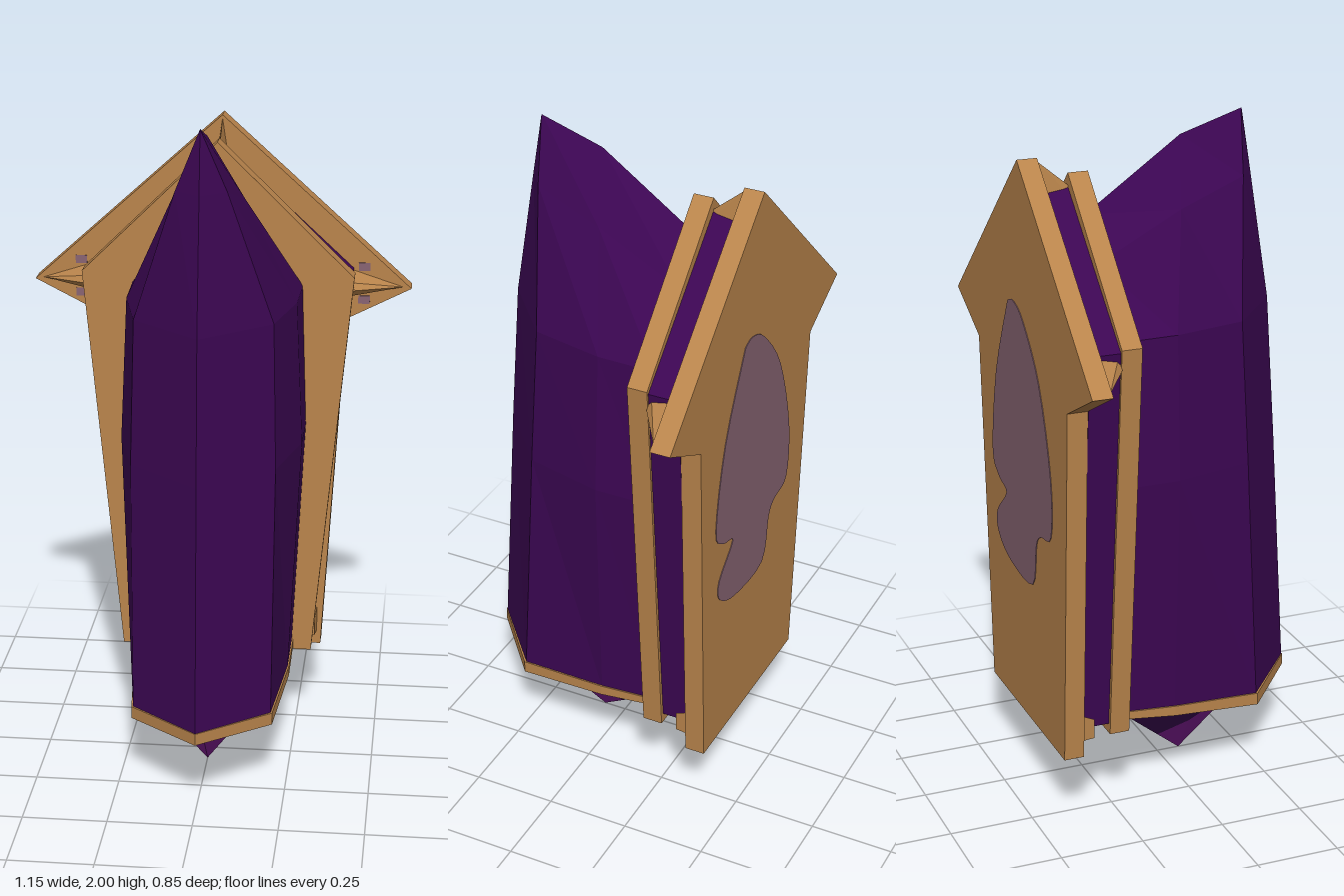
import * as THREE from 'three';
import { ConvexGeometry } from 'three/addons/geometries/ConvexGeometry.js';

const mat = (name, color, side = THREE.FrontSide) => {
  const m = new THREE.MeshStandardMaterial({ color, flatShading: true, side });
  m.name = name;
  return m;
};

// Mirror a half ring (back to nose at x = 0) into a full one
const mirrorRing = (half) => [
  ...half,
  ...half.slice(0, -1).reverse().map(([x, y, z]) => [-x, y, z]),
];

// Skin a list of equal-length rings, upwards; an optional point closes the bottom
function loft(rings, bottom) {
  const n = rings[0].length;
  const pos = rings.flat(2);
  const idx = [];
  for (let r = 0; r < rings.length - 1; r++) {
    for (let i = 0; i < n; i++) {
      const a = r * n + i, b = r * n + ((i + 1) % n), c = b + n, d = a + n;
      idx.push(a, d, c, a, c, b);
    }
  }
  if (bottom) {
    const k = pos.length / 3;
    pos.push(...bottom);
    for (let i = 0; i < n; i++) idx.push(k, i, (i + 1) % n);
  }
  const g = new THREE.BufferGeometry();
  g.setAttribute('position', new THREE.Float32BufferAttribute(pos, 3));
  g.setIndex(idx);
  const flat = g.toNonIndexed();
  flat.computeVertexNormals();
  return flat;
}

// Symmetric plate from the right half of its outline, between two depths
function plate(half, z0, z1) {
  const pts = [...half, ...half.slice().reverse().filter(([x]) => x > 0).map(([x, y]) => [-x, y])];
  const shape = new THREE.Shape(pts.map(([x, y]) => new THREE.Vector2(x, y)));
  return new THREE.ExtrudeGeometry(shape, { depth: z1 - z0, bevelEnabled: false }).translate(0, 0, z0);
}

const hull = (pts) => new ConvexGeometry(pts.map((p) => new THREE.Vector3(...p)));

export function createModel() {
  const model = new THREE.Group();
  const gold = mat('bronze', 0xba854c);
  const purple = mat('darkPurple', 0x3c0653, THREE.DoubleSide);
  const bright = mat('brightPurple', 0x86209a);
  const mauve = mat('mauve', 0x886473);
  const add = (name, geometry, material) => {
    const m = new THREE.Mesh(geometry, material);
    m.name = name;
    model.add(m);
  };

  // House-shaped plates with a purple core between them
  add('backPlate', plate([[0.317, 0.205], [0.38, 1.29], [0.575, 1.39], [0, 1.91]], -0.42, -0.36), gold);
  add('core', plate([[0.285, 0.28], [0.4, 1.45], [0, 1.82]], -0.36, -0.27), purple);
  add('frontPlate', plate([[0.295, 0.25], [0.408, 1.46], [0, 1.86]], -0.27, -0.21), gold);

  // Wedges bracing the back plate at the tips, apex and lower corners
  for (const s of [1, -1]) {
    add('tipBrace', hull([
      [s * 0.38, 1.45, -0.36], [s * 0.55, 1.395, -0.36], [s * 0.38, 1.365, -0.36],
      [s * 0.38, 1.43, -0.27], [s * 0.41, 1.405, -0.27], [s * 0.38, 1.385, -0.27],
    ]), gold);
    add('cornerBrace', hull([
      [s * 0.24, 0.25, -0.36], [s * 0.305, 0.25, -0.36], [s * 0.305, 0.33, -0.36],
      [s * 0.24, 0.25, -0.32], [s * 0.3, 0.25, -0.32], [s * 0.3, 0.31, -0.32],
    ]), gold);
    // Small stains beside the tip brace
    for (const y of [1.455, 1.352]) {
      add('tipStain', new THREE.BoxGeometry(0.035, 0.025, 0.004).translate(s * 0.432, y, -0.359), mauve);
    }
  }
  add('apexBrace', hull([
    [0, 1.9, -0.36], [0.015, 1.8, -0.36], [-0.015, 1.8, -0.36],
    [0, 1.825, -0.27], [0.006, 1.8, -0.27], [-0.006, 1.8, -0.27],
  ]), gold);

  // Faceted crystal, each half ring running back, side, edge, nose
  const rings = [
    [[0.235, 0.275, -0.22], [0.235, 0.262, -0.04], [0.205, 0.238, 0.24], [0, 0.25, 0.42]],
    [[0.27, 1.0, -0.22], [0.27, 1.0, -0.04], [0.21, 1.0, 0.2], [0, 1.0, 0.378]],
    [[0.255, 1.43, -0.22], [0.25, 1.43, -0.04], [0.2, 1.43, 0.18], [0, 1.43, 0.35]],
    [[0.11, 1.62, -0.22], [0.105, 1.75, 0.03], [0.073, 1.82, 0.235], [0, 1.82, 0.289]],
    [[0, 1.735, -0.22], [0, 1.94, 0.07], [0, 2.0, 0.258], [0, 2.0, 0.26]],
  ];
  add('crystal', loft(rings.map(mirrorRing), [0, 0.275, 0.05]), purple);

  // Thin rim around the crystal's foot
  const base = [[0.24, -0.215], [0.24, -0.04], [0.21, 0.243], [0, 0.423]];
  const rim = (ys, k) => mirrorRing(base.map(([x, z], i) => [x * k, ys[i], (z - 0.02) * k + 0.02]));
  const high = [0.283, 0.271, 0.247, 0.256], low = [0.26, 0.24, 0.21, 0.22];
  add('footRim', loft([rim(high, 0.86), rim(low, 0.86), rim(low, 1), rim(high, 1), rim(high, 0.86)]), gold);

  // Point under the crystal: bright in front and at the tip, dark higher up behind
  const tip = [0, 0, 0.07];
  const upper = [[0.2, 0.27, -0.21], [0.19, 0.245, 0.05], [0.15, 0.235, 0.18], [0, 0.23, 0.29]];
  const reach = [0.35, 0.6, 1, 1];
  const lower = upper.map((p, i) => p.map((v, k) => tip[k] + (v - tip[k]) * reach[i]));
  add('lowerPointBright', loft([mirrorRing(lower)], tip), bright);
  add('lowerPointDark', loft([mirrorRing(lower), mirrorRing(upper)]), purple);

  // Irregular stain on the back
  const outline = [
    [0.1, 1.48], [0.22, 1.23], [0.27, 0.97], [0.22, 0.9], [0.15, 0.87], [0.24, 0.78], [0.23, 0.71],
    [0.12, 0.66], [-0.07, 0.66], [-0.11, 0.8], [-0.15, 0.84], [-0.235, 0.87], [-0.24, 1.05],
    [-0.155, 1.3], [-0.03, 1.45], [0.05, 1.49],
  ].map(([x, y]) => new THREE.Vector2(x, y));
  const curve = new THREE.SplineCurve([...outline, outline[0]]);
  const stain = new THREE.Shape(curve.getPoints(64).slice(0, -1));
  add('backStain', new THREE.ExtrudeGeometry(stain, { depth: 0.004, bevelEnabled: false }).translate(0, 0, -0.422), mauve);

  return model;
}
